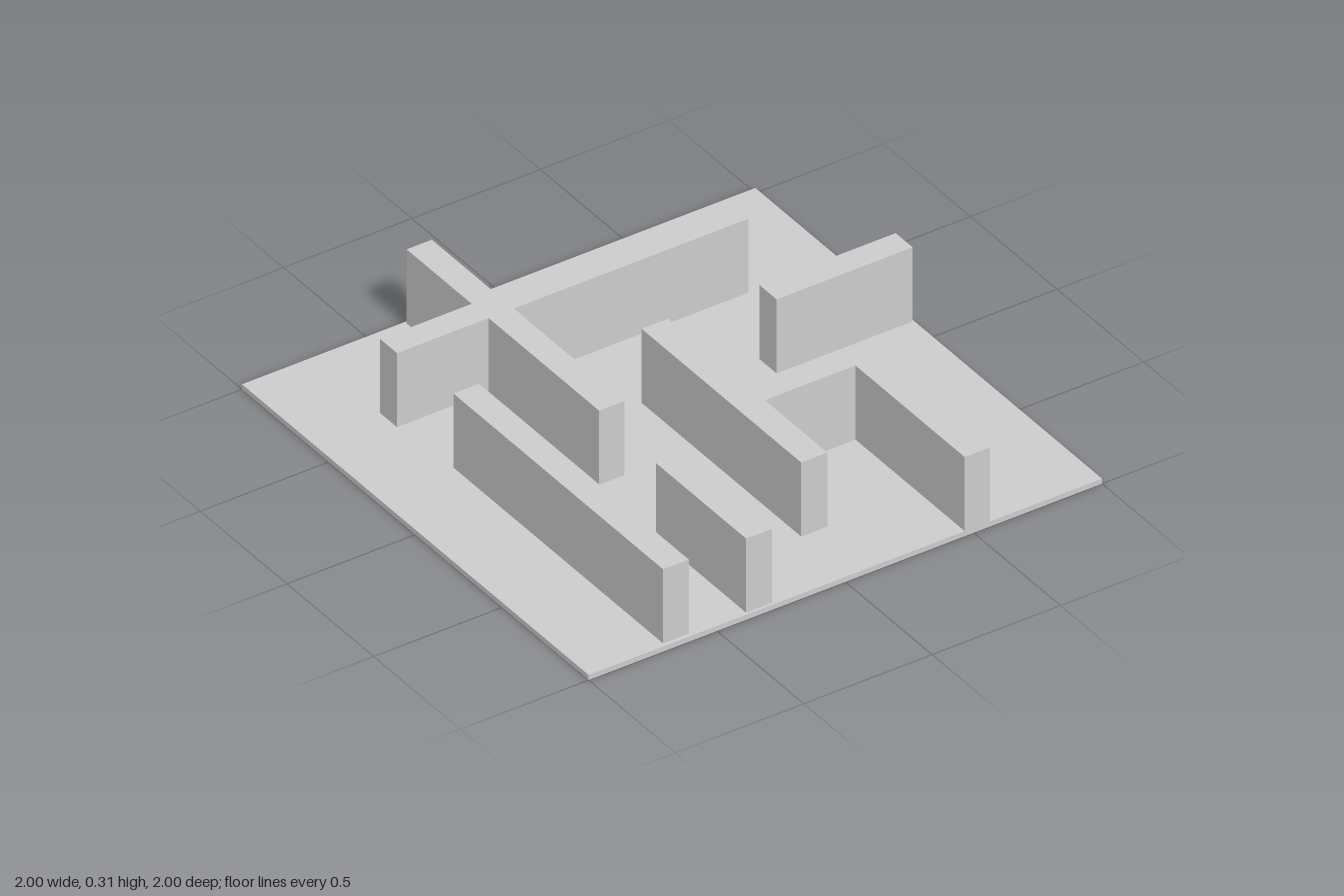
import * as THREE from 'three';

const BASE = 0.02, TOP = 0.31;

export function createModel() {
  const group = new THREE.Group();
  const material = new THREE.MeshStandardMaterial({ color: 0xcccccc, flatShading: true });

  // Raises a floor-plan outline of [x, z] corners into a solid
  function extrudePlan(name, corners, bottom, top) {
    const shape = new THREE.Shape(corners.map(([x, z]) => new THREE.Vector2(x, -z)));
    const geometry = new THREE.ExtrudeGeometry(shape, { depth: top - bottom, bevelEnabled: false });
    geometry.rotateX(-Math.PI / 2).translate(0, bottom, 0);
    const mesh = new THREE.Mesh(geometry, material);
    mesh.name = name;
    group.add(mesh);
  }
  const rect = (x0, x1, z0, z1) => [[x0, z0], [x1, z0], [x1, z1], [x0, z1]];

  // Thin square floor
  extrudePlan('floor', rect(-1, 1, -1, 1), 0, BASE);

  // Straight free-standing walls
  const straightWalls = {
    rightLongWall: rect(-0.7, -0.6, -0.225, 0.985),
    frontShortWall: rect(-0.38, -0.28, 0.47, 0.99),
    leftSideWall: rect(0.465, 0.995, -0.183, -0.085),
  };
  for (const [name, plan] of Object.entries(straightWalls)) extrudePlan(name, plan, BASE, TOP);

  // Two walls crossing at the back
  extrudePlan('crossWall', [
    [-0.365, -0.99], [-0.267, -0.99], [-0.267, -0.615], [0.648, -0.615],
    [0.648, -0.517], [-0.267, -0.517], [-0.267, 0.12], [-0.365, 0.12],
    [-0.365, -0.517], [-0.722, -0.517], [-0.722, -0.615], [-0.365, -0.615],
  ], BASE, TOP);

  // Long wall joined by a short link to a wall that reaches the front edge
  extrudePlan('branchedWall', [
    [0.01, -0.19], [0.112, -0.19], [0.112, 0.273], [0.567, 0.27],
    [0.567, 0.37], [0.563, 0.37], [0.563, 1], [0.465, 1],
    [0.465, 0.37], [0.112, 0.37], [0.112, 0.73], [0.01, 0.73],
  ], BASE, TOP);

  return group;
}
